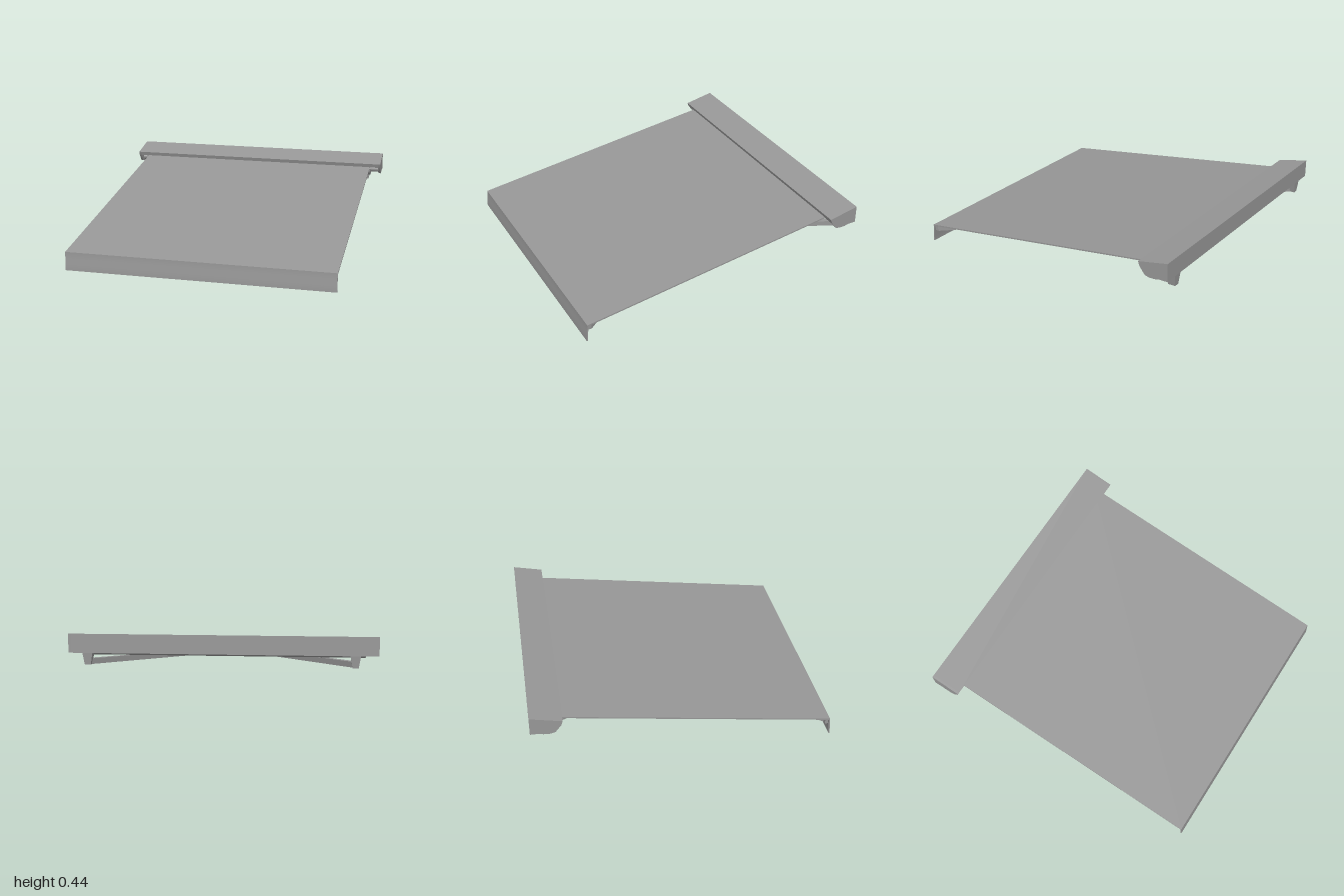
import * as THREE from 'three';
import { toCreasedNormals } from 'three/addons/utils/BufferGeometryUtils.js';

const darkGrey = new THREE.MeshStandardMaterial({ color: 0x979797 });

function add(group, name, geometry) {
  const mesh = new THREE.Mesh(geometry, darkGrey);
  mesh.name = name;
  group.add(mesh);
  return mesh;
}

// Extrudes a side profile of [z, y] points along x, centred on the given x.
function extrudeAlongX(profile, width, x = 0) {
  const shape = new THREE.Shape(profile.map(([z, y]) => new THREE.Vector2(z, y)));
  const geometry = new THREE.ExtrudeGeometry(shape, { depth: width, bevelEnabled: false });
  geometry.rotateY(-Math.PI / 2);
  geometry.translate(x + width / 2, 0, 0);
  return toCreasedNormals(geometry, 0.6);
}

// Cylinder lying along x.
function rod(radius, length, y, z) {
  return new THREE.CylinderGeometry(radius, radius, length, 32).rotateZ(Math.PI / 2).translate(0, y, z);
}

// Square bar between two points.
function bar(group, name, from, to, size) {
  const mesh = add(group, name, new THREE.BoxGeometry(size, size, from.distanceTo(to)));
  mesh.position.addVectors(from, to).multiplyScalar(0.5);
  mesh.lookAt(to);
}

// Block narrowing towards its lower end.
function taperedBlock(width, height, depth) {
  const geometry = new THREE.BoxGeometry(width, height, depth);
  const position = geometry.attributes.position;
  for (let i = 0; i < position.count; i++) {
    if (position.getY(i) < 0) {
      position.setX(i, position.getX(i) * 0.58);
      position.setZ(i, position.getZ(i) * 0.8);
    }
  }
  geometry.computeVertexNormals();
  return geometry;
}

export function createModel() {
  const model = new THREE.Group();
  model.name = 'awning';

  // Cassette cover: back wall, sloping top and front lip, open underneath
  add(model, 'cassetteCover', extrudeAlongX([
    [-1, 0.315], [-0.965, 0.315], [-0.965, 0.323], [-0.99, 0.323], [-0.99, 0.427],
    [-0.8, 0.387], [-0.807, 0.368], [-0.8, 0.366], [-0.79, 0.395], [-1, 0.437],
  ], 1.92));

  // Closed end caps
  const capProfile = [
    [-1, 0.437], [-1, 0.315], [-0.94, 0.315], [-0.915, 0.308], [-0.87, 0.307],
    [-0.84, 0.315], [-0.825, 0.333], [-0.8, 0.366], [-0.79, 0.395],
  ];
  for (const side of [-1, 1]) {
    add(model, 'cassetteEndCap', extrudeAlongX(capProfile, 0.015, side * 0.9675));
  }

  // Roller tube with the rolled fabric around it
  add(model, 'rollerTube', rod(0.024, 1.92, 0.338, -0.89));
  add(model, 'fabricRoll', rod(0.045, 1.79, 0.335, -0.89));

  // Stretched fabric running over the front into a softly waved valance
  const outer = [], inner = [];
  for (let i = 0; i <= 12; i++) {
    const t = i / 12;
    const z = 1 - 0.008 * THREE.MathUtils.smoothstep(t, 0, 1);
    outer.push([z, 0.124 * t]);
    inner.unshift([z - 0.007, 0.115 * t]);
  }
  add(model, 'fabric', extrudeAlongX([
    ...outer, [-0.89, 0.381], [-0.89, 0.372], ...inner,
  ], 1.79));

  // Front rail carrying the fabric edge
  add(model, 'frontRail', new THREE.BoxGeometry(1.77, 0.034, 0.02).translate(0, 0.096, 0.974));

  // Folding arms and their wall brackets, mirrored about a slightly offset line
  const arms = new THREE.Group();
  arms.name = 'foldingArms';
  arms.position.x = 0.012;
  model.add(arms);
  for (const side of [-1, 1]) {
    const arm = new THREE.Group();
    arm.name = side > 0 ? 'leftArm' : 'rightArm';
    const shoulder = new THREE.Vector3(side * 0.842, 0.257, -0.96);
    const elbow = new THREE.Vector3(side * 0.228, 0.173, 0.05);
    const wrist = new THREE.Vector3(side * 0.86, 0.097, 0.97);
    bar(arm, 'upperArm', shoulder, elbow, 0.036);
    bar(arm, 'forearm', elbow, wrist, 0.036);
    add(arm, 'elbowJoint', new THREE.CylinderGeometry(0.022, 0.022, 0.037, 20)).position.copy(elbow);
    add(arm, 'wallBracket', taperedBlock(0.065, 0.078, 0.062)).position.set(side * 0.842, 0.278, -0.969);
    arms.add(arm);
  }
  return model;
}
